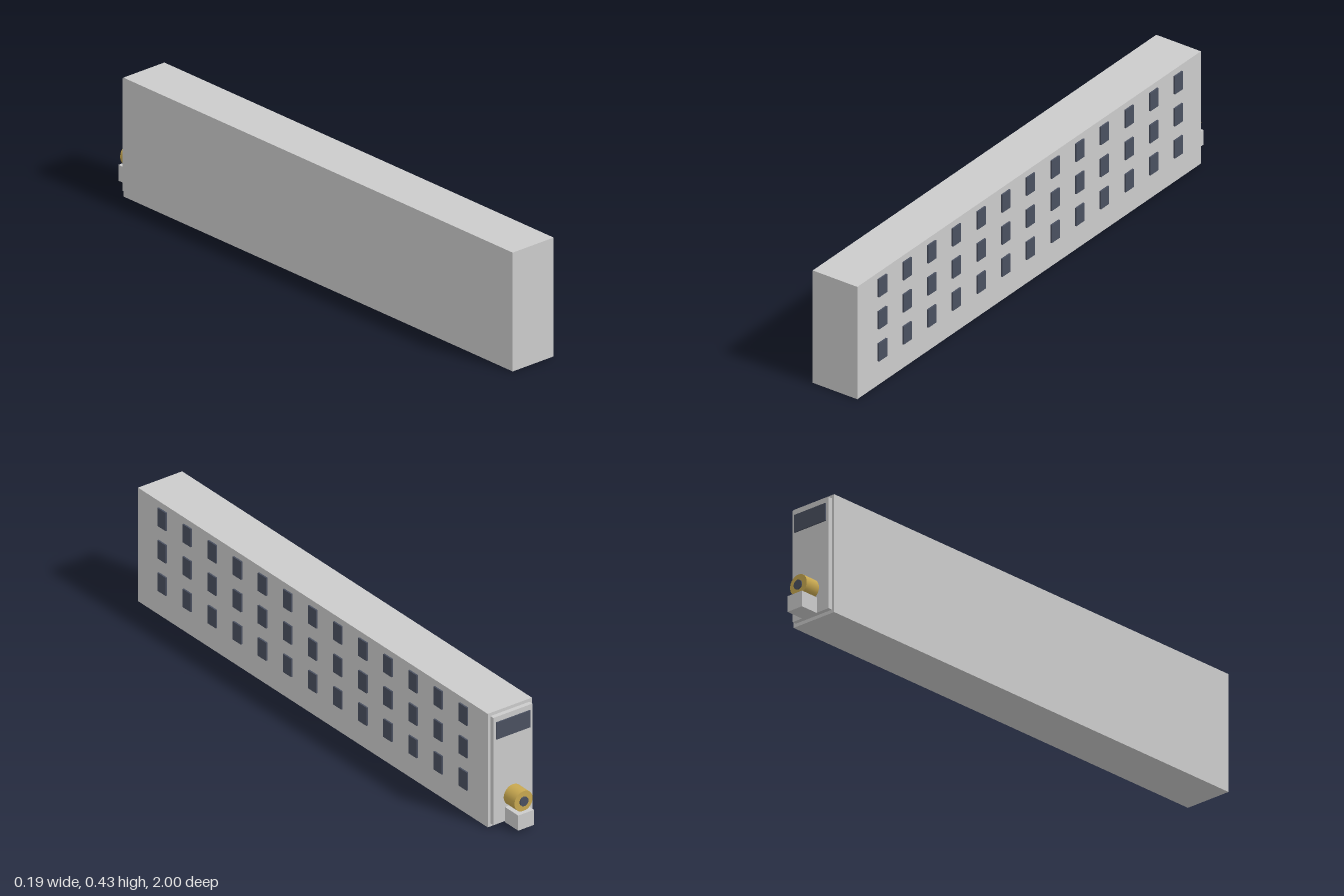
import * as THREE from 'three';

const grey = new THREE.MeshStandardMaterial({ color: 0xcccccc });
const dark = new THREE.MeshStandardMaterial({ color: 0x4a5060 });
const brass = new THREE.MeshStandardMaterial({ color: 0xc8a850 });

// Axis-aligned box from its min/max limits
function box(name, [x0, x1], [y0, y1], [z0, z1], material) {
  const mesh = new THREE.Mesh(new THREE.BoxGeometry(x1 - x0, y1 - y0, z1 - z0), material);
  mesh.position.set((x0 + x1) / 2, (y0 + y1) / 2, (z0 + z1) / 2);
  mesh.name = name;
  return mesh;
}

// Cylinder lying along z
function rod(name, radius, x, y, [z0, z1], material) {
  const geometry = new THREE.CylinderGeometry(radius, radius, z1 - z0, 32).rotateX(Math.PI / 2);
  const mesh = new THREE.Mesh(geometry, material);
  mesh.position.set(x, y, (z0 + z1) / 2);
  mesh.name = name;
  return mesh;
}

export function createModel() {
  const model = new THREE.Group();
  model.name = 'ventedModule';

  // Long housing and its rear cover
  model.add(box('housing', [-0.094, 0.088], [0, 0.428], [-0.909, 1], grey));
  model.add(box('rearPlate', [-0.084, 0.077], [0.012, 0.416], [-0.925, -0.909], grey));
  model.add(box('displayPanel', [-0.073, 0.067], [0.333, 0.396], [-0.93, -0.925], dark));

  // Rear connector: brass barrel, dark bore and the block below it
  model.add(rod('connectorBarrel', 0.0375, -0.003, 0.102, [-0.984, -0.925], brass));
  model.add(rod('connectorBore', 0.017, -0.003, 0.102, [-0.989, -0.98], dark));
  model.add(box('latchBlock', [-0.034, 0.031], [0.009, 0.066], [-1, -0.928], grey));

  // Three rows of thirteen vent pads on the left side
  const vents = new THREE.Group();
  vents.name = 'vents';
  for (let row = 0; row < 3; row++) {
    for (let col = 0; col < 13; col++) {
      const y = 0.126 + row * 0.1222;
      const z = 0.864 - col * 0.137;
      vents.add(box('vent', [0.087, 0.094], [y - 0.034, y + 0.034], [z - 0.0225, z + 0.0225], dark));
    }
  }
  model.add(vents);
  return model;
}
